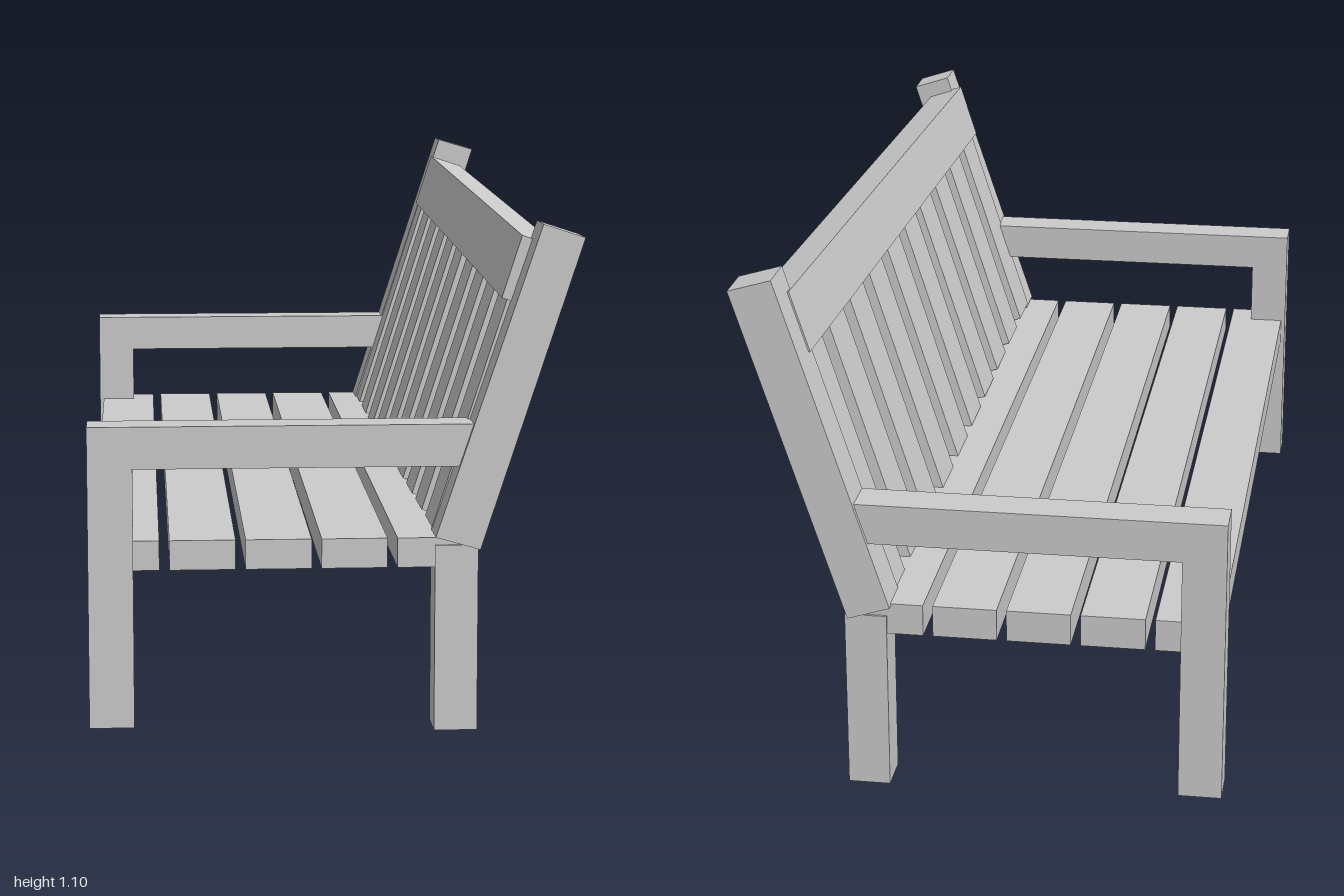
import * as THREE from 'three';

const material = new THREE.MeshStandardMaterial({ color: 0xcccccc, flatShading: true });

// A four-sided beam running along z. Each end is a section of [x, y] corners:
// bottom-left, bottom-right, top-right, top-left.
function beam(name, near, far, zNear, zFar) {
  const geometry = new THREE.BoxGeometry(1, 1, 1).toNonIndexed();
  const p = geometry.attributes.position;
  for (let i = 0; i < p.count; i++) {
    const right = p.getX(i) > 0, top = p.getY(i) > 0, isNear = p.getZ(i) > 0;
    const corner = top ? (right ? 2 : 3) : (right ? 1 : 0);
    const [x, y] = (isNear ? near : far)[corner];
    p.setXYZ(i, x, y, isNear ? zNear : zFar);
  }
  geometry.computeVertexNormals();
  const mesh = new THREE.Mesh(geometry, material);
  mesh.name = name;
  return mesh;
}

const rect = (x0, x1, y0, y1) => [[x0, y0], [x1, y0], [x1, y1], [x0, y1]];
const shift = (section, dx, dy) => section.map(([x, y]) => [x + dx, y + dy]);

export function createModel() {
  const bench = new THREE.Group();
  bench.name = 'bench';

  // Legs and armrests at both ends
  for (const [side, s] of [['left', 1], ['right', -1]]) {
    const outer = s * 0.99, inner = s * 0.905;
    const z0 = Math.max(outer, inner), z1 = Math.min(outer, inner);
    const add = (name, section) => bench.add(beam(name, section, section, z0, z1));
    add(side + 'FrontLeg', rect(-0.5, -0.41, 0.02, 0.63));
    add(side + 'Armrest', rect(-0.41, 0.29, 0.545, 0.63));
    add(side + 'BackLeg', rect(0.193, 0.28, s > 0 ? 0.005 : 0, 0.385));
  }

  // Leaning back posts, one a little taller than the other
  const nearPost = [[0.193, 0.403], [0.283, 0.377], [0.486, 1.001], [0.402, 1.028]];
  const farPost = [[0.184, 0.408], [0.272, 0.38], [0.495, 1.074], [0.406, 1.1]];
  bench.add(beam('leftBackPost', nearPost, nearPost, 1, 0.908));
  bench.add(beam('rightBackPost', farPost, farPost, -0.905, -1));

  // Seat slats
  for (let i = 0; i < 5; i++) {
    const x = -0.49 + i * 0.152;
    bench.add(beam('seatSlat', rect(x, x + 0.132, 0.34, 0.4),
      rect(x, x + 0.132, 0.345, 0.412), 0.985, -0.985));
  }

  // Top rail, rising gently along the bench
  const rail = [[0.33, 0.875], [0.405, 0.85], [0.446, 0.975], [0.37, 1.0]];
  bench.add(beam('topRail', rail, shift(rail, 0.018, 0.055), 0.93, -0.93));

  // Upright back slats, tucked into the top rail
  const slat = [[0.187, 0.405], [0.252, 0.386], [0.42, 0.925], [0.357, 0.945]];
  for (let i = 0; i < 10; i++) {
    const z = -0.877 + i * 0.193;
    const section = shift(slat, i * 0.0007, i * 0.0005);
    if (i > 5) section[2][1] = section[3][1] = 0.92;
    if (i > 5) { section[2][0] -= 0.003; section[3][0] -= 0.006; }
    bench.add(beam('backSlat', section, section, z + 0.064, z - 0.064));
  }

  return bench;
}
